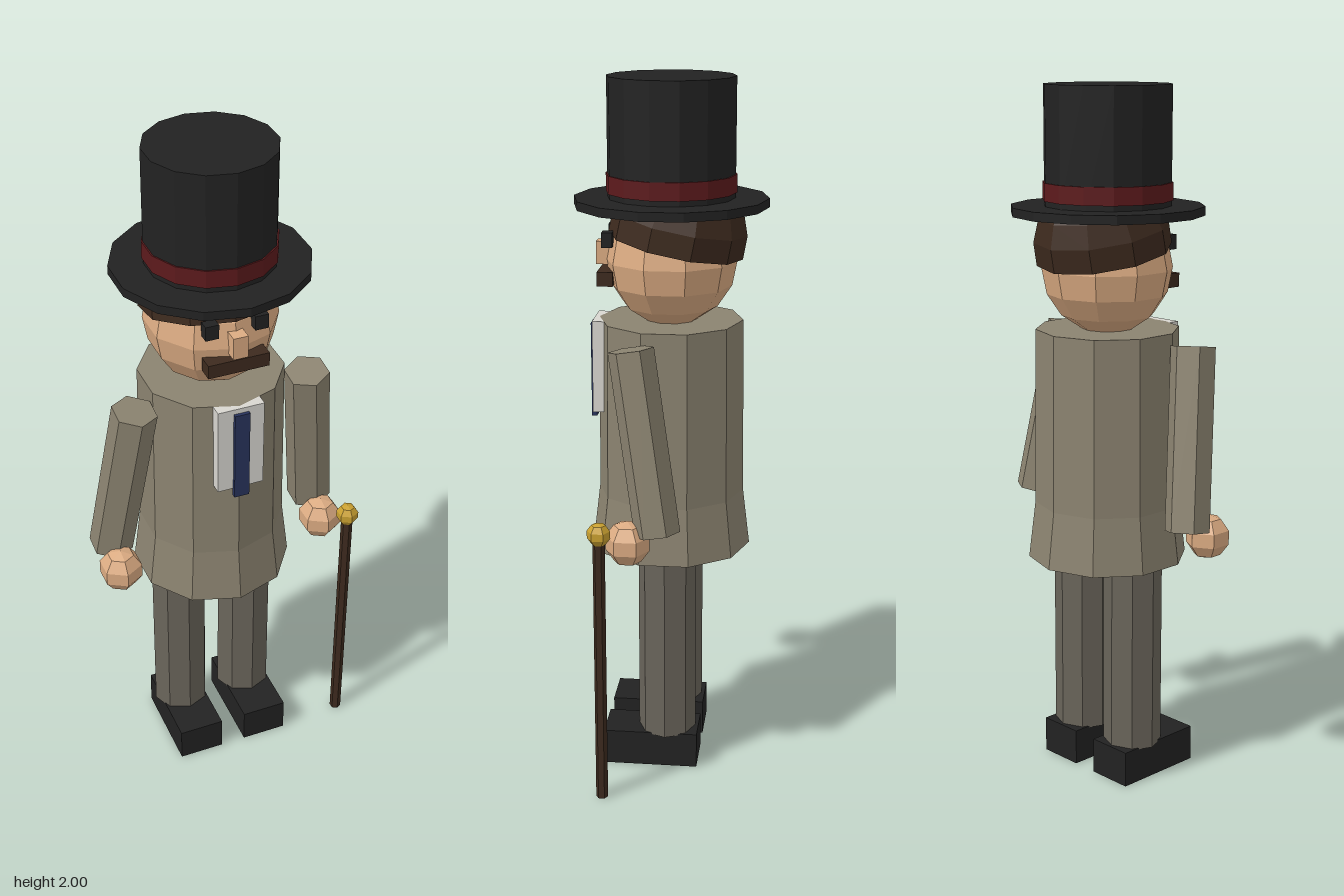
import * as THREE from 'three';

const mat = (name, color) => {
  const m = new THREE.MeshStandardMaterial({ color });
  m.name = name;
  return m;
};

// Faceted normals: every face keeps its own corners
function facet(geometry) {
  const g = geometry.index ? geometry.toNonIndexed() : geometry;
  g.computeVertexNormals();
  return g;
}

export function createModel() {
  const black = mat('black', 0x222222);
  const red = mat('band red', 0x5c1a1c);
  const skin = mat('skin', 0xdbab82);
  const brown = mat('dark brown', 0x3d2a1e);
  const coat = mat('coat taupe', 0x8b8370);
  const grey = mat('trouser grey', 0x69645a);
  const white = mat('shirt white', 0xd8d6d0);
  const navy = mat('tie navy', 0x28335c);
  const gold = mat('gold', 0xc9a030);

  const model = new THREE.Group();
  model.name = 'gentleman';
  const body = new THREE.Group();
  body.name = 'figure';
  body.position.x = -0.0145; // the cane shifts the figure off centre
  model.add(body);

  const add = (name, geometry, material, x, y, z, parent = body) => {
    const mesh = new THREE.Mesh(facet(geometry), material);
    mesh.name = name;
    mesh.position.set(x, y, z);
    parent.add(mesh);
    return mesh;
  };
  const box = (name, w, h, d, material, x, y, z) =>
    add(name, new THREE.BoxGeometry(w, h, d), material, x, y, z);
  // Cylinder given by its bottom and top heights
  const drum = (name, rTop, rBottom, y0, y1, sides, material, x = 0, z = 0, parent = body) =>
    add(name, new THREE.CylinderGeometry(rTop, rBottom, y1 - y0, sides), material, x, (y0 + y1) / 2, z, parent);
  // Ball with a corner line facing the front
  const ball = (name, r, w, h, material, x, y, z, parent = body) =>
    add(name, new THREE.SphereGeometry(r, w, h).rotateY(Math.PI / 2), material, x, y, z, parent);

  // Top hat
  drum('hatCrown', 0.179, 0.179, 1.66, 2, 14, black);
  drum('hatBand', 0.183, 0.183, 1.685, 1.735, 14, red);
  drum('hatBrim', 0.273, 0.273, 1.645, 1.67, 14, black);

  // Head and face
  ball('head', 0.186, 10, 8, skin, 0, 1.495, 0);
  box('nose', 0.042, 0.065, 0.05, skin, 0, 1.512, 0.185);
  box('moustache', 0.175, 0.04, 0.045, brown, 0, 1.45, 0.177);
  for (const s of [-1, 1]) {
    box(s > 0 ? 'leftEye' : 'rightEye', 0.038, 0.042, 0.03, black, s * 0.07, 1.56, 0.17);
  }

  // Hair: closed cap tilted towards the back
  const cap = [];
  const edge = 0.55 * Math.PI;
  for (let i = 0; i <= 5; i++) {
    const a = edge * (1 - i / 5);
    cap.push(new THREE.Vector2(0.195 * Math.sin(a), 0.195 * Math.cos(a)));
  }
  cap[5].x = 0;
  cap.unshift(new THREE.Vector2(0, cap[0].y));
  const hair = add('hair', new THREE.LatheGeometry(cap, 10), brown, 0, 1.565, -0.018);
  hair.rotation.x = -0.2;

  // Coat with flared skirt
  drum('coatBody', 0.205, 0.21, 0.82, 1.325, 10, coat);
  drum('coatSkirt', 0.21, 0.23, 0.655, 0.82, 10, coat);
  box('shirtFront', 0.135, 0.265, 0.035, white, 0, 1.1925, 0.2);
  box('tie', 0.044, 0.275, 0.015, navy, 0, 1.1725, 0.2205);

  // Arms, hands, legs and shoes on both sides
  const up = new THREE.Vector3(0, 1, 0);
  for (const s of [-1, 1]) {
    const side = s > 0 ? 'left' : 'right';
    const top = new THREE.Vector3(s * 0.255, 1.295, 0.083);
    const end = new THREE.Vector3(s * 0.315, 0.79, 0.005);
    const dir = top.clone().sub(end);
    const mid = top.clone().add(end).multiplyScalar(0.5);
    const arm = add(side + 'Arm', new THREE.CylinderGeometry(0.064, 0.064, dir.length(), 6), coat, mid.x, mid.y, mid.z);
    arm.quaternion.setFromUnitVectors(up, dir.normalize());
    ball(side + 'Hand', 0.065, 6, 5, skin, s * 0.315, 0.76, 0.088);
    drum(side + 'Leg', 0.084, 0.084, 0.1, 0.68, 8, grey, s * 0.106);
    box(side + 'Shoe', 0.136, 0.105, 0.275, black, s * 0.106, 0.0525, 0.0445);
  }

  // Walking cane
  drum('caneShaft', 0.017, 0.017, 0, 0.8, 6, brown, 0.355, 0.16, model);
  ball('caneKnob', 0.034, 6, 5, gold, 0.355, 0.803, 0.16, model);

  return model;
}
